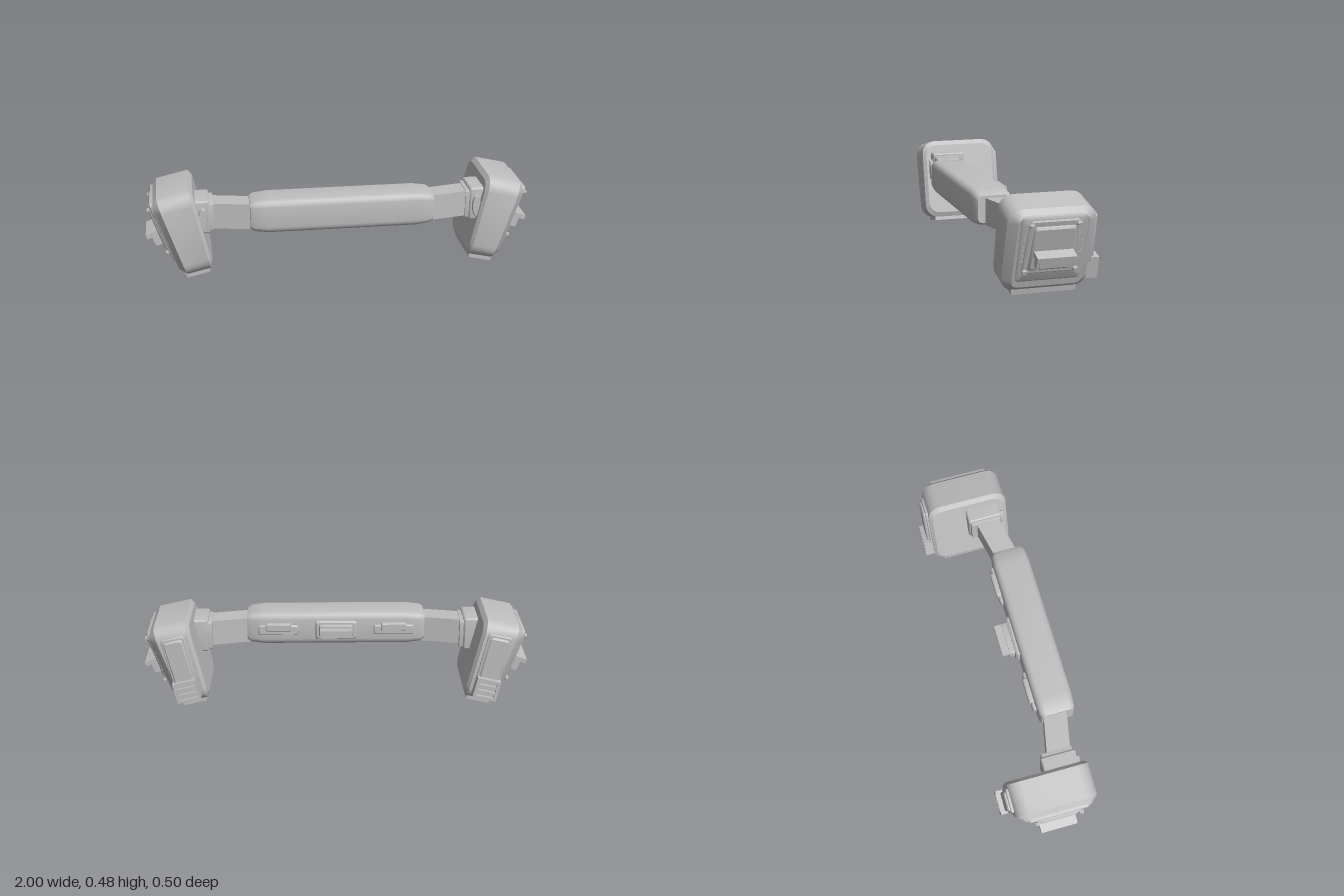
import * as THREE from 'three';
import { toCreasedNormals } from 'three/addons/utils/BufferGeometryUtils.js';

const gray = new THREE.MeshStandardMaterial({ color: 0xbfbfbf });
gray.name = 'plain gray';

// Rounded rectangle ring; taper narrows the top and widens the bottom
function ring([w, hw, hh, r, lean = 0], taper) {
  const pts = [], seg = 4;
  for (let c = 0; c < 4; c++) {
    const sx = c === 0 || c === 3 ? 1 : -1, sy = c < 2 ? 1 : -1;
    for (let i = 0; i <= seg; i++) {
      const a = (c + i / seg) * Math.PI / 2;
      const y = sy * (hh - r) + r * Math.sin(a);
      const x = (sx * (hw - r) + r * Math.cos(a)) * (1 - taper * y);
      pts.push([x, y, w + lean * y]);
    }
  }
  return pts;
}

// Stack of rounded rectangles along +z: layers of [height, halfWidth, halfHeight, radius, lean]
function slab(layers, taper = 0) {
  const rings = layers.map(l => ring(l, taper));
  const pos = [], n = rings[0].length, last = rings.length - 1;
  const tri = (a, b, c) => pos.push(...a, ...b, ...c);
  for (let k = 0; k < last; k++) {
    for (let i = 0; i < n; i++) {
      const j = (i + 1) % n, A = rings[k], B = rings[k + 1];
      tri(A[i], A[j], B[j]);
      tri(A[i], B[j], B[i]);
    }
  }
  const c0 = [0, 0, layers[0][0]], c1 = [0, 0, layers[last][0]];
  for (let i = 0; i < n; i++) {
    const j = (i + 1) % n;
    tri(c0, rings[0][j], rings[0][i]);
    tri(c1, rings[last][i], rings[last][j]);
  }
  const g = new THREE.BufferGeometry();
  g.setAttribute('position', new THREE.Float32BufferAttribute(pos, 3));
  return toCreasedNormals(g, 0.5);
}

function add(parent, name, geo, x = 0, y = 0, z = 0) {
  const m = new THREE.Mesh(geo, gray);
  m.name = name;
  m.position.set(x, y, z);
  parent.add(m);
  return m;
}
const box = (p, name, w, h, d, x, y, z) => add(p, name, new THREE.BoxGeometry(w, h, d), x, y, z);

function group(parent, name, x, y, z) {
  const g = new THREE.Group();
  g.name = name;
  g.position.set(x, y, z);
  parent.add(g);
  return g;
}

// Layered plate on the outer face of a pod, facing local +z
function buildPanel(p) {
  add(p, 'panelFrame', slab([[-0.01, 0.158, 0.175, 0.018], [0.005, 0.158, 0.175, 0.018], [0.01, 0.15, 0.167, 0.018]]));
  add(p, 'panelPlate', slab([[0.005, 0.128, 0.142, 0.016], [0.016, 0.128, 0.142, 0.016], [0.02, 0.123, 0.137, 0.016]], 0.5), 0, 0.018);
  add(p, 'centerBlock', slab([[0.015, 0.106, 0.118, 0.012], [0.027, 0.103, 0.115, 0.012], [0.034, 0.096, 0.106, 0.012]], 0.5), 0, 0.015);
  for (const sx of [-1, 1]) {
    for (const sy of [-1, 1]) {
      const bolt = new THREE.CylinderGeometry(0.011, 0.014, 0.016, 6).rotateX(Math.PI / 2);
      add(p, 'bolt', toCreasedNormals(bolt, 0.5), sx * (sy > 0 ? 0.113 : 0.124), 0.014 + sy * 0.124, 0.026);
    }
    for (let i = 0; i < 9; i++) box(p, 'ridge', 0.004, 0.006, 0.008, sx * 0.14, -0.06 + i * 0.016, 0.011);
  }
  // Projecting ledge with a recessed box underneath
  box(p, 'ledgeLip', 0.19, 0.024, 0.072, 0, -0.002, 0.061);
  box(p, 'ledgeBox', 0.146, 0.05, 0.05, 0, -0.036, 0.05);
  for (const sx of [-1, 1]) box(p, 'ledgeCheek', 0.014, 0.058, 0.045, sx * 0.079, -0.04, 0.047);
}

// Strap plate and slotted buckle on the rear of a pod, facing local +z
function buildStrap(p) {
  add(p, 'strapBase', slab([[-0.01, 0.062, 0.135, 0.012], [0.008, 0.062, 0.135, 0.012], [0.012, 0.057, 0.13, 0.012]]), 0, 0.04);
  add(p, 'strapPlate', slab([[0.005, 0.05, 0.122, 0.014], [0.019, 0.05, 0.122, 0.014], [0.025, 0.044, 0.114, 0.014]]), 0, 0.04);
  box(p, 'buckleBase', 0.124, 0.11, 0.045, 0, -0.115, 0.011);
  for (const sx of [-1, 1]) box(p, 'buckleSide', 0.015, 0.11, 0.025, sx * 0.0545, -0.115, 0.036);
  for (let i = 0; i < 4; i++) box(p, 'buckleBar', 0.1, 0.014, 0.025, 0, -0.163 + i * 0.032, 0.036);
}

// One end of the model: arm, cuff and tilted pod on the +x side
function buildSide(side) {
  const plan = new THREE.Shape([[0.44, -0.2], [0.68, -0.152], [0.68, -0.03], [0.44, -0.08]].map(([x, y]) => new THREE.Vector2(x, y)));
  add(side, 'arm', new THREE.ExtrudeGeometry(plan, { depth: 0.135, bevelEnabled: false }).rotateX(-Math.PI / 2), 0, 0.263);

  const alongX = layers => slab(layers).rotateY(Math.PI / 2);
  add(side, 'cuff', alongX([[0.652, 0.08, 0.074, 0.008], [0.69, 0.083, 0.078, 0.008]]), 0, 0.328, 0.085);
  add(side, 'cuffFlange', alongX([[0.672, 0.084, 0.082, 0.01], [0.68, 0.09, 0.088, 0.01], [0.77, 0.09, 0.088, 0.01]]), 0, 0.331, 0.085);
  const hub = new THREE.CylinderGeometry(0.053, 0.06, 0.016, 28).rotateX(Math.PI / 2).scale(0.38, 1, 1);
  add(side, 'hub', toCreasedNormals(hub, 0.5), 0.708, 0.325, 0.181);

  const pod = group(side, 'pod', 0.81, 0.235, 0.007);
  pod.rotation.z = -0.227;
  add(pod, 'podShell', alongX([
    [-0.105, 0.195, 0.195, 0.06],
    [-0.09, 0.213, 0.22, 0.07],
    [0.055, 0.213, 0.22, 0.07, 0.1],
    [0.09, 0.172, 0.188, 0.03, 0.12],
  ]), 0, 0.008);
  box(pod, 'foot', 0.123, 0.03, 0.32, -0.0185, -0.216, 0);

  const panel = group(pod, 'outerPanel', 0.092, 0.03, 0);
  panel.rotation.set(0, Math.PI / 2, -0.12, 'ZYX');
  buildPanel(panel);

  const strap = group(pod, 'rearStrap', -0.012, 0, -0.213);
  strap.rotation.y = Math.PI;
  buildStrap(strap);
}

export function createModel() {
  const model = new THREE.Group();
  model.name = 'bridgeWithPods';

  // Central bar with tapered ends
  add(model, 'bar', slab([
    [-0.47, 0.083, 0.068, 0.025],
    [-0.45, 0.092, 0.079, 0.03],
    [-0.38, 0.097, 0.088, 0.034],
    [0.38, 0.097, 0.088, 0.034],
    [0.45, 0.092, 0.079, 0.03],
    [0.47, 0.083, 0.068, 0.025],
  ]).rotateY(Math.PI / 2), 0, 0.341, 0.15);

  // Rear pads of the bar
  const rear = group(model, 'rearPads', 0, 0.341, 0.056);
  rear.rotation.y = Math.PI;
  add(rear, 'middlePad', slab([[-0.01, 0.11, 0.05, 0.012], [0.012, 0.11, 0.05, 0.012], [0.022, 0.1, 0.043, 0.012]]));
  add(rear, 'middleBlock', slab([[0.015, 0.09, 0.036, 0.008], [0.05, 0.085, 0.032, 0.008]]));
  box(rear, 'middleLip', 0.17, 0.016, 0.045, 0, 0.016, 0.066);
  box(rear, 'middleLedge', 0.14, 0.028, 0.03, 0, -0.004, 0.055);
  for (const sx of [-1, 1]) {
    const pad = group(rear, 'sidePad', sx * 0.305, 0, 0);
    add(pad, 'padBase', slab([[-0.01, 0.105, 0.026, 0.01], [0.012, 0.105, 0.026, 0.01], [0.018, 0.1, 0.021, 0.01]]));
    add(pad, 'padStep', slab([[-0.01, 0.066, 0.02, 0.006], [0.022, 0.066, 0.02, 0.006], [0.028, 0.062, 0.016, 0.006]]), 0, 0.018);
    for (let i = 0; i < 8; i++) box(pad, 'padTooth', 0.01, 0.008, 0.014, -0.07 + i * 0.02, -0.028, 0.003);
  }

  // Mirrored ends
  for (const s of [1, -1]) {
    const side = group(model, s > 0 ? 'leftEnd' : 'rightEnd', 0, 0, 0);
    buildSide(side);
    side.scale.x = s;
  }
  return model;
}
